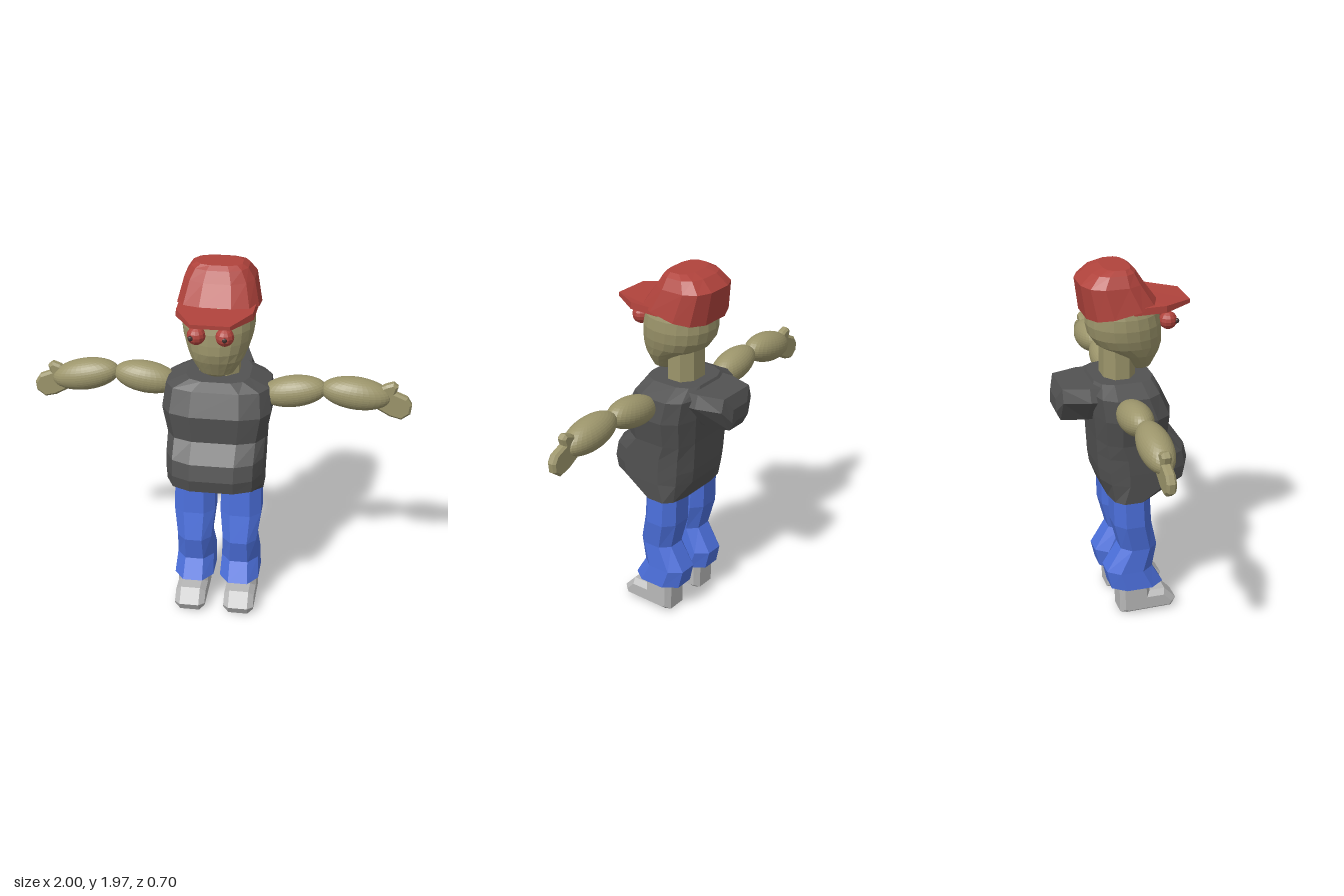
import * as THREE from 'three';

const material = (name, color, flatShading = true) => {
  const m = new THREE.MeshStandardMaterial({ color, flatShading });
  m.name = name;
  return m;
};

// Skin a list of equal-length rings, lowest first, and close both ends
function loft(rings) {
  const n = rings[0].length;
  const pos = rings.flat(2);
  const index = [];
  for (let i = 0; i < rings.length - 1; i++) {
    for (let j = 0; j < n; j++) {
      const k = (j + 1) % n;
      const a = i * n + j, b = i * n + k, c = a + n, d = b + n;
      index.push(a, c, b, c, d, b);
    }
  }
  const top = (rings.length - 1) * n;
  for (let j = 1; j < n - 1; j++) {
    index.push(0, j, j + 1);
    index.push(top, top + j + 1, top + j);
  }
  const g = new THREE.BufferGeometry();
  g.setAttribute('position', new THREE.Float32BufferAttribute(pos, 3));
  g.setIndex(index);
  const flat = g.toNonIndexed();
  flat.computeVertexNormals();
  return flat;
}

// Rounded ring: e < 1 makes it boxier, tilt raises it towards the front
function ring(n, e, [y, front, back, rx, cx = 0, tilt = 0]) {
  const unit = Math.cos(Math.PI / n);
  const shape = (v) => Math.sign(v) * Math.pow(Math.abs(v) / unit, e);
  const points = [];
  for (let j = 0; j < n; j++) {
    const a = ((j + 0.5) / n) * Math.PI * 2;
    const z = (front + back) / 2 + ((front - back) / 2) * shape(Math.sin(a));
    points.push([cx + rx * shape(Math.cos(a)), y + tilt * z, z]);
  }
  return points;
}

const loftRows = (n, e, rows) => loft(rows.map((row) => ring(n, e, row)));

export function createModel() {
  const model = new THREE.Group();
  model.name = 'figure';
  const skin = material('skin', 0x9c956b);
  const shirt = material('charcoal shirt', 0x525252);
  const denim = material('blue denim', 0x4c70dc);
  const red = material('red', 0xb0433c);
  const grey = material('light grey', 0xb8b8b8);
  const dark = material('dark pupil', 0x40302e);

  const add = (name, geometry, mat) => {
    const mesh = new THREE.Mesh(geometry, mat);
    mesh.name = name;
    model.add(mesh);
    return mesh;
  };

  // Torso with a protruding belly: [y, front z, back z, half width]
  add('torso', loftRows(12, 0.6, [
    [0.715, 0.125, -0.09, 0.245],
    [0.82, 0.335, -0.13, 0.25],
    [0.89, 0.35, -0.14, 0.253],
    [0.975, 0.33, -0.145, 0.255],
    [1.06, 0.237, -0.15, 0.257],
    [1.205, 0.245, -0.165, 0.285],
    [1.325, 0.19, -0.175, 0.27],
    [1.375, 0.165, -0.15, 0.165],
  ]), shirt);

  // Hood hanging behind the shoulders, lofted backwards
  const hoodSection = (depth, w, low, high) => [
    [w, depth, high - 0.07], [w * 0.85, depth, high], [-w * 0.85, depth, high],
    [-w, depth, high - 0.07], [-w * 0.45, depth, low], [w * 0.45, depth, low],
  ];
  const hood = loft([
    hoodSection(0.1, 0.18, 1.16, 1.36),
    hoodSection(0.19, 0.175, 1.16, 1.362),
    hoodSection(0.325, 0.13, 1.165, 1.36),
    hoodSection(0.35, 0.07, 1.22, 1.29),
  ]);
  add('hood', hood.rotateX(-Math.PI / 2), shirt);

  // Neck and head
  add('neck', loftRows(8, 0.9, [[1.3, 0.08, -0.09, 0.105], [1.55, 0.08, -0.09, 0.105]]), skin);
  add('head', loftRows(20, 0.95, [
    [1.4, 0.145, 0.08, 0.045],
    [1.42, 0.17, 0.06, 0.085],
    [1.46, 0.19, 0.02, 0.112],
    [1.5, 0.21, -0.03, 0.137],
    [1.55, 0.225, -0.12, 0.16],
    [1.6, 0.225, -0.155, 0.176],
    [1.66, 0.22, -0.168, 0.185],
    [1.72, 0.205, -0.165, 0.182],
    [1.78, 0.165, -0.15, 0.165],
    [1.84, 0.1, -0.1, 0.11],
  ]), skin);

  // Bulging eyes
  for (const [side, x, px] of [['right', -0.085, -0.108], ['left', 0.058, 0.062]]) {
    add(`${side}Eye`, new THREE.SphereGeometry(0.047, 12, 8), red).position.set(x, 1.668, 0.243);
    add(`${side}Pupil`, new THREE.SphereGeometry(0.014, 8, 6), dark).position.set(px, 1.668, 0.282);
  }

  // Cap: crown with a tilted rim, and a brim
  add('capCrown', loftRows(12, 0.72, [
    [1.755, 0.18, -0.187, 0.208, 0, 0.2],
    [1.89, 0.11, -0.212, 0.178],
    [1.945, 0.075, -0.15, 0.145],
    [1.965, 0.05, -0.09, 0.115],
  ]), red);
  const brimOutline = (s, y0, y1) => [
    [0.2, 0.03], [0.195, 0.2], [0.1, 0.355], [-0.1, 0.355], [-0.195, 0.2], [-0.2, 0.03],
  ].map(([x, z]) => [x * s, z > 0.3 ? y1 : y0, z]);
  add('capBrim', loft([brimOutline(1, 1.75, 1.755), brimOutline(0.98, 1.785, 1.775)]), red);

  // Arms: two ellipsoids each, then a flat hand with a thumb
  const skinSmooth = new THREE.SphereGeometry(1, 32, 20);
  const addSegment = (name, x, y, z, half, radius, tilt) => {
    const mesh = add(name, skinSmooth, skin);
    mesh.position.set(x, y, z);
    mesh.scale.set(half, radius, radius);
    mesh.rotation.z = tilt;
  };
  addSegment('rightUpperArm', -0.395, 1.29, -0.025, 0.175, 0.085, -0.14);
  addSegment('rightForearm', -0.722, 1.285, -0.025, 0.185, 0.085, 0.2);
  addSegment('leftUpperArm', 0.39, 1.295, 0.045, 0.175, 0.083, 0.17);
  addSegment('leftForearm', 0.712, 1.305, 0.045, 0.183, 0.085, -0.1);

  const handOutline = [
    [0.81, 1.335], [0.86, 1.365], [0.9, 1.38], [0.925, 1.36], [0.915, 1.325], [0.975, 1.3],
    [1, 1.26], [0.995, 1.21], [0.95, 1.175], [0.89, 1.19], [0.81, 1.235],
  ];
  for (const [side, s, dy, z] of [['right', -1, -0.035, -0.03], ['left', 1, 0, 0.045]]) {
    const outline = new THREE.Shape(handOutline.map(([x, y]) => new THREE.Vector2(s * x, y + dy)));
    const hand = new THREE.ExtrudeGeometry(outline, {
      depth: 0.026, bevelThickness: 0.012, bevelSize: 0.012, bevelOffset: -0.012, bevelSegments: 1,
    });
    add(`${side}Hand`, hand.translate(0, 0, z - 0.013), skin);
  }

  // Flared trouser legs and chunky shoes
  const shoeProfile = new THREE.Shape([
    [-0.04, 0.012], [0.0, 0], [0.255, 0.003], [0.28, 0.05], [0.215, 0.12], [0.13, 0.12],
    [0.125, 0.2], [-0.045, 0.2],
  ].map(([z, y]) => new THREE.Vector2(-z, y)));
  for (const [side, s] of [['right', -1], ['left', 1]]) {
    add(`${side}Leg`, loftRows(8, 0.8, [
      [0.165, 0.205, -0.085, 0.107, s * 0.125],
      [0.27, 0.145, -0.11, 0.1, s * 0.123],
      [0.405, 0.17, -0.03, 0.092, s * 0.124],
      [0.56, 0.135, -0.07, 0.111, s * 0.126],
      [0.74, 0.125, -0.075, 0.108, s * 0.125],
    ]), denim);
    const shoe = new THREE.ExtrudeGeometry(shoeProfile, {
      depth: 0.105, bevelThickness: 0.03, bevelSize: 0.025, bevelOffset: -0.025, bevelSegments: 1,
    });
    shoe.translate(0, 0, -0.0525).rotateY(Math.PI / 2);
    add(`${side}Shoe`, shoe, grey).position.x = s * 0.135;
  }
  return model;
}
